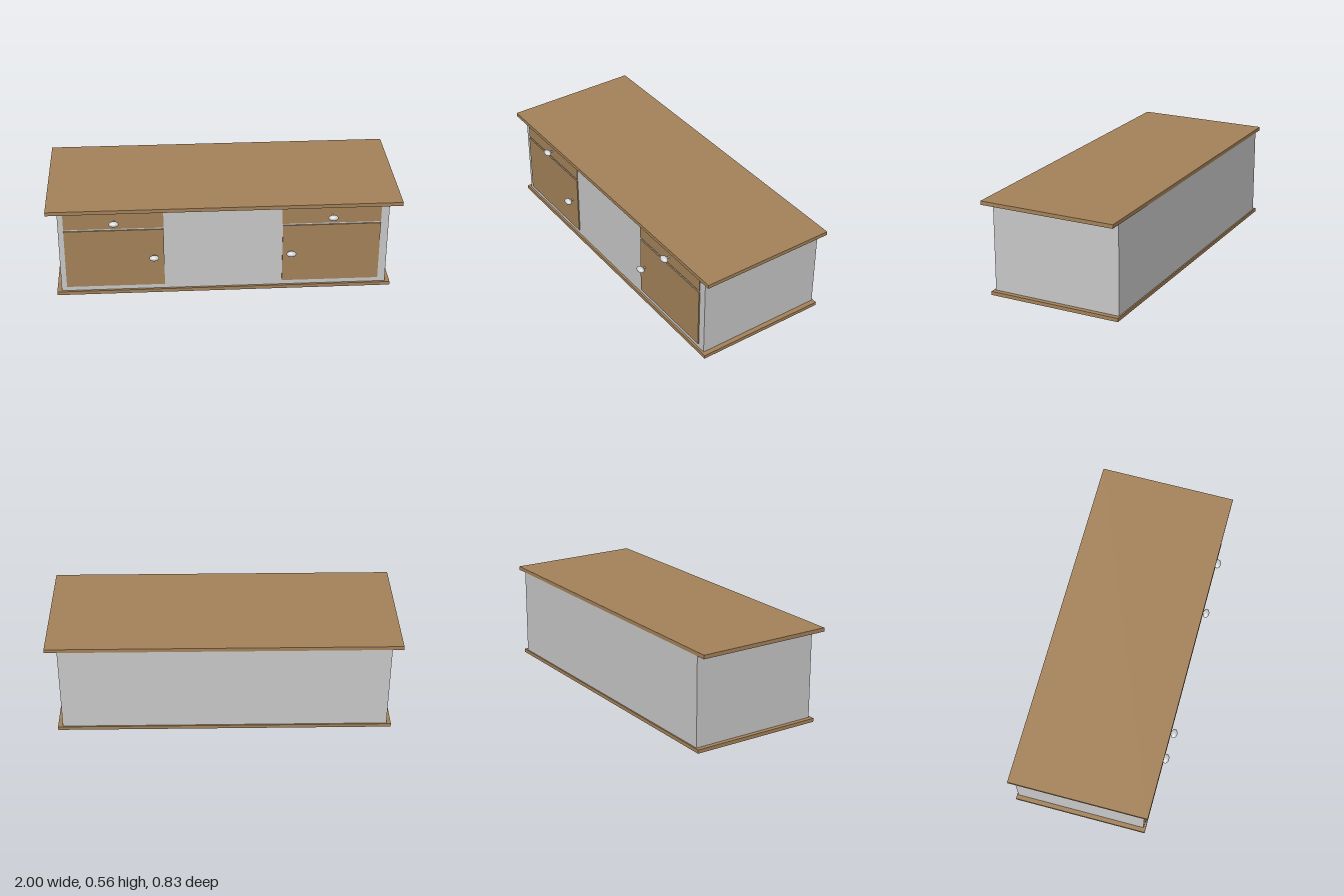
import * as THREE from 'three';

export function createModel() {
  const group = new THREE.Group();
  const wood = new THREE.MeshStandardMaterial({ name: 'wood', color: 0xa5835a });
  const paint = new THREE.MeshStandardMaterial({ name: 'grey paint', color: 0xc9c9c9 });
  const metal = new THREE.MeshStandardMaterial({ name: 'knob metal', color: 0xd0d2d4 });

  // Box given by its limits on each axis
  function box(name, material, [x0, x1], [y0, y1], [z0, z1]) {
    const mesh = new THREE.Mesh(new THREE.BoxGeometry(x1 - x0, y1 - y0, z1 - z0), material);
    mesh.position.set((x0 + x1) / 2, (y0 + y1) / 2, (z0 + z1) / 2);
    mesh.name = name;
    group.add(mesh);
  }

  // Flattened oval knob on a short round stem
  function knob(name, x, y) {
    const part = new THREE.Group();
    part.name = name;
    const head = new THREE.Mesh(new THREE.SphereGeometry(1, 32, 20), metal);
    head.name = 'knobHead';
    head.scale.set(0.028, 0.016, 0.019);
    head.position.z = 0.397;
    const stem = new THREE.Mesh(new THREE.CylinderGeometry(0.005, 0.005, 0.03, 20), metal);
    stem.name = 'knobStem';
    stem.rotation.x = Math.PI / 2;
    stem.position.z = 0.371;
    part.add(head, stem);
    part.position.set(x, y, 0);
    group.add(part);
  }

  // Carcass between base and top boards
  box('baseBoard', wood, [-0.963, 0.958], [0, 0.021], [-0.413, 0.37]);
  box('body', paint, [-0.937, 0.93], [0.021, 0.535], [-0.405, 0.357]);
  box('topBoard', wood, [-1, 1], [0.535, 0.557], [-0.408, 0.39]);

  // Drawer above a door on each side
  const sides = [
    { side: 'right', drawer: [-0.906, -0.345], door: [-0.906, -0.345], drawerKnob: -0.622, doorKnob: -0.402 },
    { side: 'left', drawer: [0.324, 0.885], door: [0.329, 0.885], drawerKnob: 0.608, doorKnob: 0.377 },
  ];
  for (const s of sides) {
    box(s.side + 'Drawer', wood, s.drawer, [0.424, 0.521], [0.355, 0.361]);
    box(s.side + 'Door', wood, s.door, [0.05, 0.414], [0.355, 0.364]);
    knob(s.side + 'DrawerKnob', s.drawerKnob, 0.474);
    knob(s.side + 'DoorKnob', s.doorKnob, 0.245);
  }
  return group;
}
